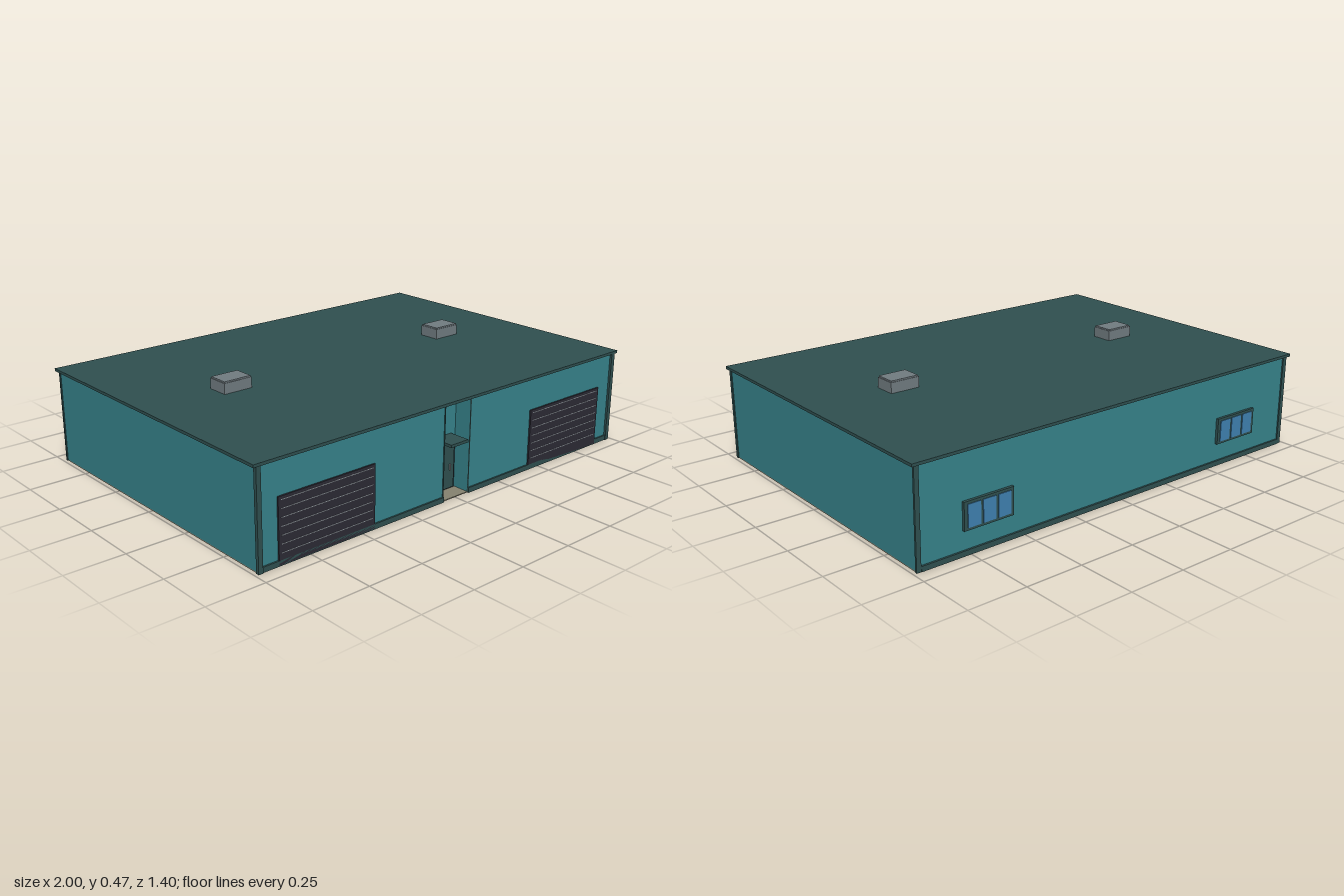
import * as THREE from 'three';

const mat = (name, color, extra = {}) => {
  const m = new THREE.MeshStandardMaterial({ color, ...extra });
  m.name = name;
  return m;
};

export function createModel() {
  const teal = mat('teal wall', 0x36828a);
  const slate = mat('dark slate trim', 0x2f4f4f);
  const charcoal = mat('charcoal shutter', 0x2b2a34);
  const lineGrey = mat('pale grey', 0x8d9499);
  const ventGrey = mat('vent grey', 0x707b80);
  const glass = mat('window glass', 0x3f80b0);
  const concrete = mat('concrete', 0x85826f);

  const root = new THREE.Group();
  root.name = 'garageBuilding';

  // box given by its min and max on each axis
  const box = (name, material, [x0, x1], [y0, y1], [z0, z1], parent = root) => {
    const m = new THREE.Mesh(new THREE.BoxGeometry(x1 - x0, y1 - y0, z1 - z0), material);
    m.position.set((x0 + x1) / 2, (y0 + y1) / 2, (z0 + z1) / 2);
    m.name = name;
    parent.add(m);
    return m;
  };

  const W = 0.983, F = 0.682, B = -0.682, NX = 0.07, NZ = 0.605, H = 0.407;

  // walls: floor plan with an entrance niche in the front, extruded upward
  const plan = new THREE.Shape(
    [[-W, F], [-NX, F], [-NX, NZ], [NX, NZ], [NX, F], [W, F], [W, B], [-W, B]]
      .map(([x, z]) => new THREE.Vector2(x, -z)));
  const wallGeo = new THREE.ExtrudeGeometry(plan, { depth: H - 0.004, bevelEnabled: false });
  wallGeo.rotateX(-Math.PI / 2).translate(0, 0.004, 0);
  const walls = new THREE.Mesh(wallGeo, teal);
  walls.name = 'walls';
  root.add(walls);

  box('floorSlab', concrete, [-W, W], [0, 0.004], [B, F]);
  box('roof', slate, [-1, 1], [0.405, 0.417], [-0.697, 0.695]);

  // corner posts and base trim
  for (const s of [-1, 1]) {
    const xs = s > 0 ? [0.967, 0.987] : [-0.987, -0.967];
    box('frontCornerPost', slate, xs, [0, 0.406], [0.677, 0.692]);
    box('backCornerPost', slate, xs, [0, 0.406], [-0.688, -0.679]);
    box('frontBaseTrim', slate, s > 0 ? [NX, 0.967] : [-0.967, -NX], [0, 0.022], [0.68, 0.689]);
    // slim edging on the niche corners
    box('nicheEdge', slate, s > 0 ? [NX, NX + 0.004] : [-NX - 0.004, -NX], [0.022, 0.405], [0.68, 0.685]);
  }
  box('backBaseTrim', slate, [-0.967, 0.967], [0, 0.022], [-0.69, -0.68]);

  // roller shutters
  for (const cx of [-0.667, 0.663]) {
    const g = new THREE.Group();
    g.name = 'garageDoor';
    root.add(g);
    box('shutter', charcoal, [cx - 0.227, cx + 0.227], [0.003, 0.267], [0.68, 0.689], g);
    for (let i = 0; i < 7; i++) {
      const y = 0.05 + i * 0.034;
      box('shutterLine', lineGrey, [cx - 0.215, cx + 0.215], [y - 0.0015, y + 0.0015], [0.688, 0.69], g);
    }
  }

  // entrance door in the niche, with handle and canopy
  const entrance = new THREE.Group();
  entrance.name = 'entrance';
  root.add(entrance);
  box('doorFrame', charcoal, [-0.066, 0.066], [0.004, 0.216], [0.604, 0.61], entrance);
  box('door', slate, [-0.059, 0.059], [0.008, 0.21], [0.604, 0.614], entrance);
  box('doorHandle', lineGrey, [0.031, 0.038], [0.087, 0.113], [0.613, 0.62], entrance);
  box('canopy', slate, [-0.05, 0.046], [0.229, 0.241], [0.604, 0.7], entrance);

  // back windows with three panes
  for (const cx of [-0.665, 0.67]) {
    const g = new THREE.Group();
    g.name = 'backWindow';
    root.add(g);
    box('windowFrame', slate, [cx - 0.113, cx + 0.113], [0.1, 0.214], [-0.694, -0.68], g);
    for (let i = -1; i <= 1; i++) {
      const px = cx + i * 0.069;
      box('windowPane', glass, [px - 0.029, px + 0.029], [0.111, 0.203], [-0.697, -0.693], g);
    }
  }

  // roof vents
  for (const cx of [-0.59, 0.588]) {
    const g = new THREE.Group();
    g.name = 'roofVent';
    root.add(g);
    box('ventBody', ventGrey, [cx - 0.066, cx + 0.066], [0.416, 0.462], [-0.049, 0.047], g);
    box('ventLid', ventGrey, [cx - 0.063, cx + 0.063], [0.462, 0.468], [-0.046, 0.044], g);
  }

  return root;
}
